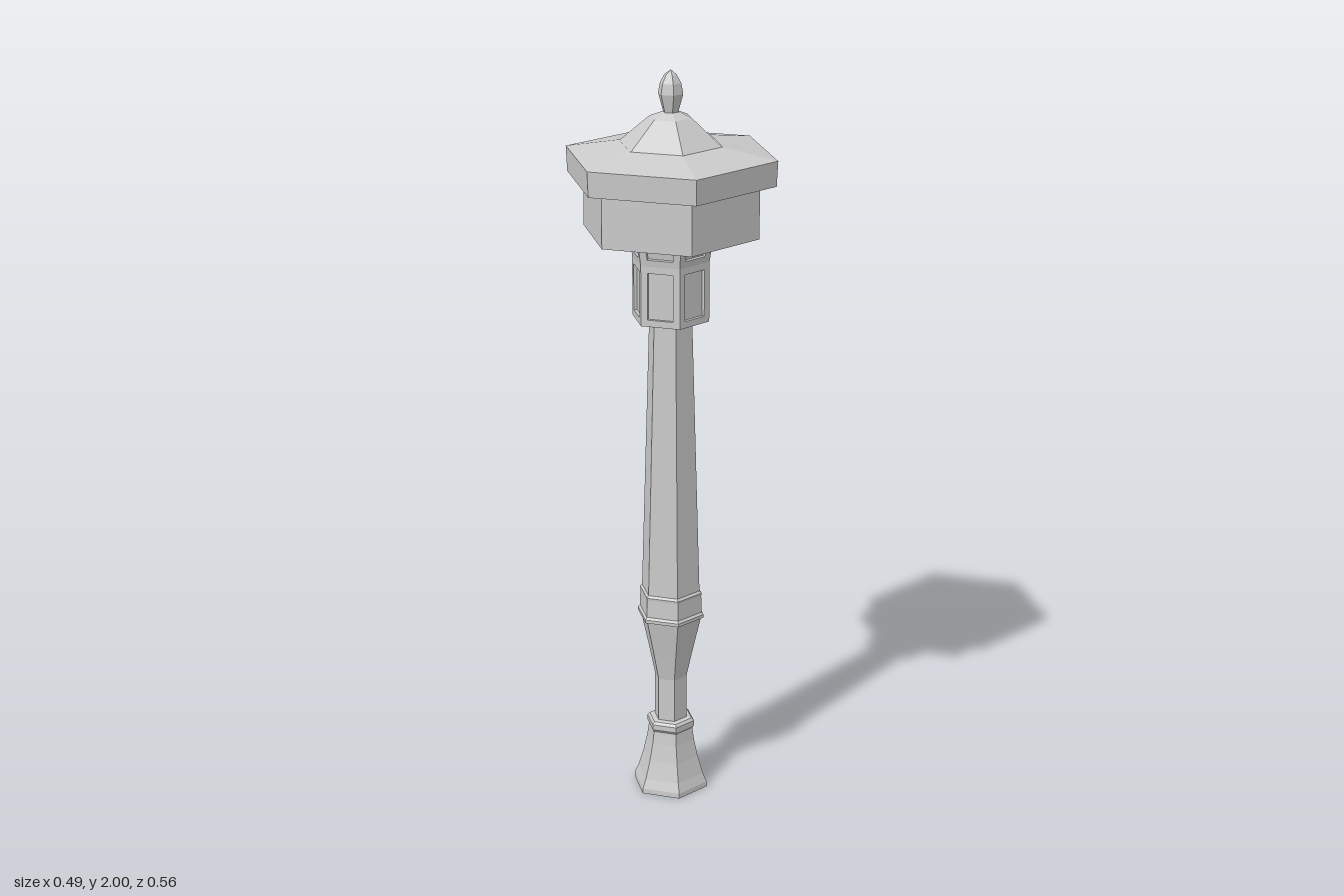
import * as THREE from 'three';

const SIDES = 6;
const APOTHEM = Math.cos(Math.PI / SIDES);
const material = new THREE.MeshStandardMaterial({ color: 0xcccccc, flatShading: true });

// Six-sided turned part from [radius, height] pairs, bottom to top
function turned(name, profile) {
  const points = profile.map(([r, y]) => new THREE.Vector2(r, y));
  const mesh = new THREE.Mesh(new THREE.LatheGeometry(points, SIDES), material);
  mesh.name = name;
  return mesh;
}

// Path with four corners: bottom width, top width, from y0 to y1
function trapezoid(path, bottom, top, y0, y1) {
  path.moveTo(-bottom / 2, y0);
  path.lineTo(bottom / 2, y0);
  path.lineTo(top / 2, y1);
  path.lineTo(-top / 2, y1);
  path.closePath();
  return path;
}

// Ring of six window frames around a recessed core, from radius r0 at y0 to r1 at y1
function panelTier(name, r0, r1, y0, y1) {
  const tier = new THREE.Group();
  tier.name = name;
  const depth = 0.01, margin = 0.018;
  const rise = y1 - y0, run = (r1 - r0) * APOTHEM;
  const slant = Math.hypot(rise, run);

  const shape = trapezoid(new THREE.Shape(), r0, r1, 0, slant);
  shape.holes.push(trapezoid(new THREE.Path(), r0 - 2 * margin, r1 - 2 * margin, margin, slant - margin));
  const frame = new THREE.ExtrudeGeometry(shape, { depth, bevelEnabled: false });
  frame.translate(0, 0, -depth);
  frame.rotateX(Math.atan2(run, rise));
  frame.translate(0, y0, r0 * APOTHEM);

  for (let i = 0; i < SIDES; i++) {
    const mesh = new THREE.Mesh(frame, material);
    mesh.name = 'panelFrame';
    mesh.rotation.y = (i + 0.5) * Math.PI * 2 / SIDES;
    tier.add(mesh);
  }
  tier.add(turned('panelBack', [[0, y0 + 0.002], [r0 - 0.01, y0 + 0.002], [r1 - 0.01, y1]]));
  return tier;
}

export function createModel() {
  const model = new THREE.Group();
  model.name = 'hexagonalPost';

  // Flared foot with a collar
  model.add(turned('foot', [
    [0, 0], [0.105, 0], [0.104, 0.014], [0.093, 0.04], [0.078, 0.09], [0.067, 0.14], [0.062, 0.175],
    [0.067, 0.182], [0.067, 0.197], [0.06, 0.204], [0.045, 0.206],
  ]));

  // Narrow neck swelling into the banded knob
  model.add(turned('neck', [
    [0.045, 0.2], [0.045, 0.33], [0.06, 0.4], [0.085, 0.508],
    [0.093, 0.511], [0.093, 0.52], [0.087, 0.526], [0.086, 0.575], [0.087, 0.582], [0.081, 0.588],
  ]));

  // Tapering shaft
  model.add(turned('shaft', [[0.081, 0.585], [0.058, 1.36]]));

  // Panelled housing below the lantern box
  model.add(panelTier('lowerPanels', 0.104, 0.104, 1.35, 1.51));
  model.add(panelTier('upperPanels', 0.104, 0.125, 1.51, 1.645));

  // Lantern box with a raised underside
  model.add(turned('box', [[0.11, 1.635], [0.235, 1.58], [0.235, 1.73]]));

  // Broad eave and shallow roof
  model.add(turned('roof', [[0.22, 1.72], [0.278, 1.72], [0.281, 1.786], [0.137, 1.812]]));

  // Small domed cap
  model.add(turned('cap', [[0.137, 1.81], [0.056, 1.88], [0.022, 1.893], [0, 1.895]]));

  // Bud-shaped finial
  model.add(turned('finial', [
    [0.018, 1.885], [0.022, 1.9], [0.033, 1.94], [0.028, 1.967], [0.016, 1.988], [0, 2],
  ]));

  return model;
}
